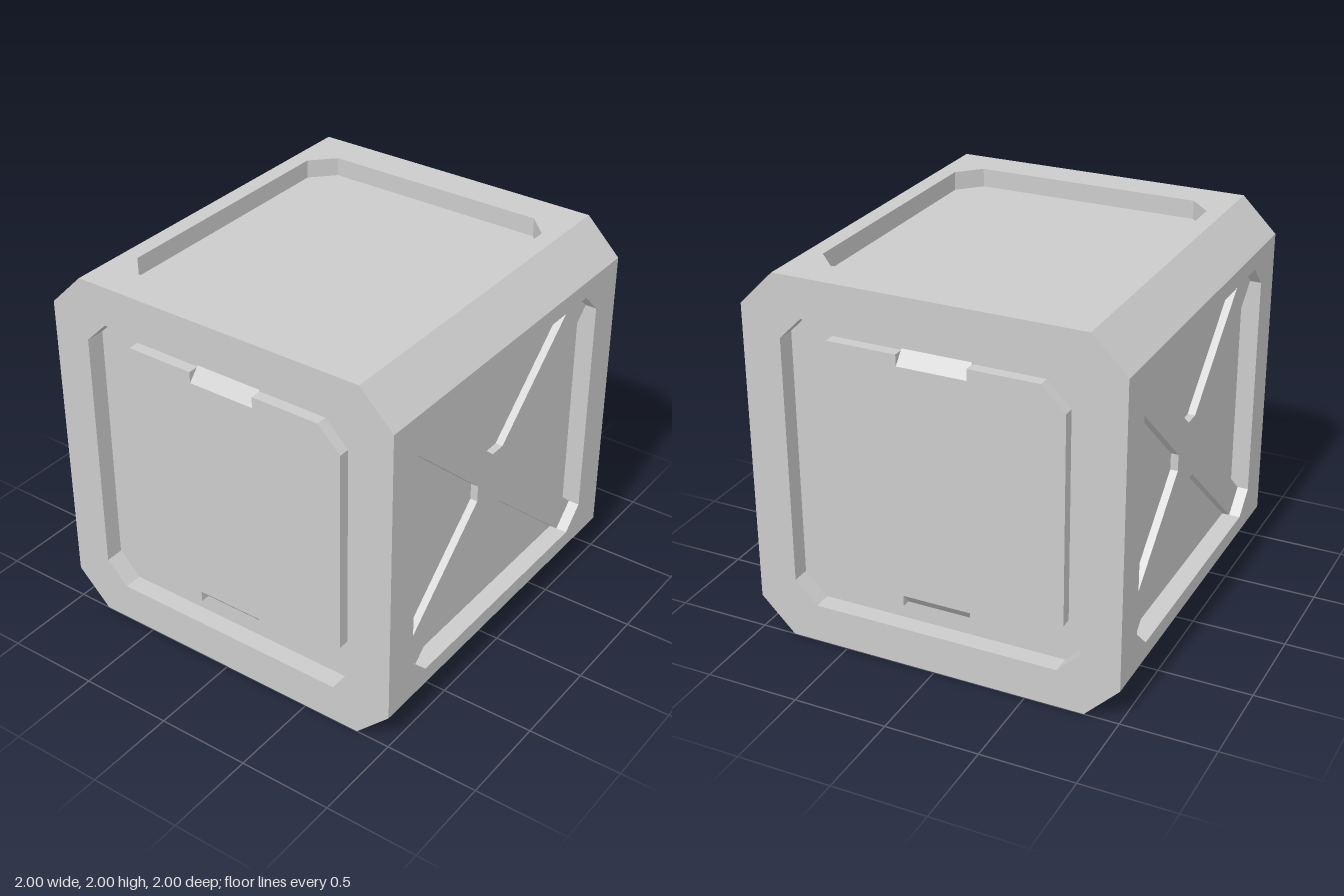
import * as THREE from 'three';

const material = new THREE.MeshStandardMaterial({ color: 0xcccccc, flatShading: true });
const BEVEL = 0.185; // bevel along the four long edges
const DEPTH = 0.1; // depth of every recess

function addMesh(parent, name, geometry) {
  const mesh = new THREE.Mesh(geometry, material);
  mesh.name = name;
  parent.add(mesh);
  return mesh;
}

const toShape = (points) => new THREE.Shape(points.map(([x, y]) => new THREE.Vector2(x, y)));

// Counter-clockwise rectangle with cut corners, given by half sizes
const cutRect = (w, h, cx, cy = cx) => [
  [w, -h + cy], [w, h - cy], [w - cx, h], [-w + cx, h],
  [-w, h - cy], [-w, -h + cy], [-w + cx, -h], [w - cx, -h],
];

// Inward-facing wall that follows a loop from z = 0 down to z = -depth
function recessWall(loop, depth) {
  const positions = [];
  loop.forEach(([ax, ay], i) => {
    const [bx, by] = loop[(i + 1) % loop.length];
    positions.push(ax, ay, 0, bx, by, 0, bx, by, -depth);
    positions.push(ax, ay, 0, bx, by, -depth, ax, ay, -depth);
  });
  const geometry = new THREE.BufferGeometry();
  geometry.setAttribute('position', new THREE.Float32BufferAttribute(positions, 3));
  geometry.computeVertexNormals();
  return geometry;
}

// One face of the crate: flat rim, recess walls and recess floor
function recessedFace(name, outer, recess) {
  const face = new THREE.Group();
  face.name = name;
  const rim = toShape(outer);
  rim.holes.push(toShape(recess));
  addMesh(face, 'rim', new THREE.ShapeGeometry(rim));
  addMesh(face, 'recessWall', recessWall(recess, DEPTH));
  addMesh(face, 'recessFloor', new THREE.ShapeGeometry(toShape(recess)).translate(0, 0, -DEPTH));
  return face;
}

// Plain recessed face, used for the top, bottom, front and back
function longFace(name) {
  const h = 1 - BEVEL;
  const outer = [[1, -h], [1, h], [-1, h], [-1, -h]];
  return recessedFace(name, outer, cutRect(0.805, 0.725, 0.12, 0.115));
}

// Front and back carry a raised diagonal cross
function crossFace(name) {
  const face = longFace(name);
  const quarter = [[0.17, 0.045], [0.805, 0.61], [0.685, 0.725], [0.045, 0.165]];
  const flip = (sx, sy) => quarter.map(([x, y]) => [x * sx, y * sy]);
  const outline = [
    ...flip(1, 1), ...flip(-1, 1).reverse(), ...flip(-1, -1), ...flip(1, -1).reverse(),
  ];
  const cross = new THREE.ExtrudeGeometry(toShape(outline), { depth: 0.04, bevelEnabled: false });
  addMesh(face, 'crossBrace', cross.translate(0, 0, -DEPTH));
  return face;
}

// End faces carry a raised panel with a sloped notch at top and bottom
function endFace(name) {
  const face = recessedFace(name, cutRect(1, 1, BEVEL), cutRect(0.79, 0.79, 0.12));
  const n = 0.185, low = 0.625, w = 0.685, c = 0.125, rise = 0.06;
  const half = [[w, w - c], [w - c, w], [n, w], [n, low], [-n, low], [-n, w], [-w + c, w], [-w, w - c]];
  const outline = [...half, ...half.map(([x, y]) => [-x, -y])];
  const panel = new THREE.ExtrudeGeometry(toShape(outline), { depth: rise, bevelEnabled: false });
  addMesh(face, 'raisedPanel', panel.translate(0, 0, -DEPTH));

  const wedge = new THREE.ExtrudeGeometry(
    toShape([[-DEPTH, low], [rise - DEPTH, low], [-DEPTH, 0.693]]),
    { depth: 2 * n, bevelEnabled: false },
  ).rotateY(-Math.PI / 2).translate(n, 0, 0);
  addMesh(face, 'topNotchSlope', wedge);
  addMesh(face, 'bottomNotchSlope', wedge).rotation.z = Math.PI;
  return face;
}

export function createModel() {
  const model = new THREE.Group();
  model.name = 'crate';
  const q = Math.PI / 2;

  // Turn each face outward and push it one unit from the centre
  const place = (face, rx, ry) => {
    face.rotation.set(rx, ry, 0);
    face.position.set(0, 0, 1).applyEuler(face.rotation);
    face.position.y += 1;
    model.add(face);
  };
  place(crossFace('frontFace'), 0, 0);
  place(crossFace('backFace'), 0, Math.PI);
  place(endFace('leftFace'), 0, q);
  place(endFace('rightFace'), 0, -q);
  place(longFace('topFace'), -q, 0);
  place(longFace('bottomFace'), q, 0);

  // Bevelled long edges
  for (let i = 0; i < 4; i++) {
    const edge = new THREE.PlaneGeometry(2, BEVEL * Math.SQRT2);
    edge.translate(0, 0, (2 - BEVEL) / Math.SQRT2);
    const mesh = addMesh(model, 'bevelledEdge', edge);
    mesh.rotation.x = q * (i + 0.5);
    mesh.position.y = 1;
  }
  return model;
}
